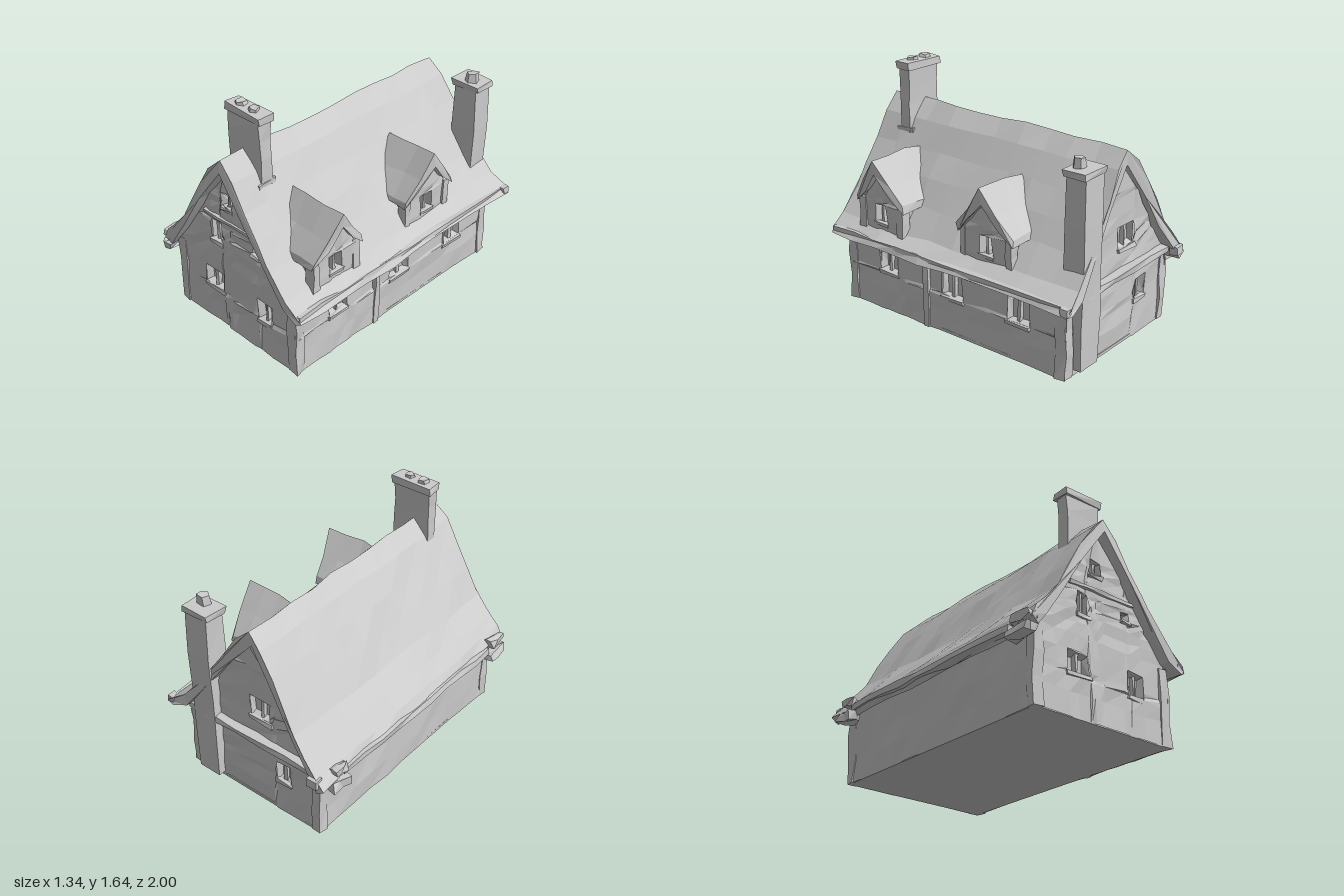
import * as THREE from 'three';

const material = new THREE.MeshStandardMaterial({ color: 0xcccccc, flatShading: true, side: THREE.DoubleSide });

// Repeatable noise from a position, so shared corners move together
function noise(x, y, z, k) {
  const s = Math.sin(Math.round(x * 500) * 12.99 + Math.round(y * 500) * 78.23 + Math.round(z * 500) * 37.72 + k * 9.17) * 4375.85;
  return (s - Math.floor(s)) * 2 - 1;
}

// Hand-hewn look: nudge every vertex, keeping the ground line flat
function rough(geometry, amount) {
  const p = geometry.attributes.position;
  for (let i = 0; i < p.count; i++) {
    const x = p.getX(i), y = p.getY(i), z = p.getZ(i);
    p.setXYZ(i, x + amount * noise(x, y, z, 1), y < 0.002 ? y : y + amount * noise(x, y, z, 2), z + amount * noise(x, y, z, 3));
  }
  const g = geometry.toNonIndexed();
  g.computeVertexNormals();
  return g;
}

function add(parent, name, geometry, amount = 0.008) {
  const mesh = new THREE.Mesh(rough(geometry, amount), material);
  mesh.name = name;
  parent.add(mesh);
}

function indexed(positions, index) {
  const g = new THREE.BufferGeometry();
  g.setAttribute('position', new THREE.Float32BufferAttribute(positions, 3));
  g.setIndex(index);
  return g;
}

// Box given by its low and high corners
function block(parent, name, [x0, y0, z0], [x1, y1, z1], seg = [1, 1, 1], amount = 0.007) {
  const g = new THREE.BoxGeometry(x1 - x0, y1 - y0, z1 - z0, ...seg);
  g.translate((x0 + x1) / 2, (y0 + y1) / 2, (z0 + z1) / 2);
  add(parent, name, g, amount);
}

// Counter-clockwise outline swept along z in steps; place(x, y, t) gives each vertex
function sweep(outline, steps, place) {
  const n = outline.length, pos = [], idx = [];
  for (let i = 0; i <= steps; i++) for (const [x, y] of outline) pos.push(...place(x, y, i / steps));
  for (let i = 0; i < steps; i++) {
    for (let j = 0; j < n; j++) {
      const a = i * n + j, b = i * n + (j + 1) % n;
      idx.push(a, b, a + n, b, b + n, a + n);
    }
  }
  const caps = THREE.ShapeUtils.triangulateShape(outline.map(([x, y]) => new THREE.Vector2(x, y)), []);
  for (const [a, b, c] of caps) idx.push(a, c, b, a + steps * n, b + steps * n, c + steps * n);
  return indexed(pos, idx);
}

// Symmetric outline from [height, half width] pairs
const outlineOf = (profile) => [...profile.map(([y, w]) => [w, y]), ...profile.filter(([, w]) => w > 0).reverse().map(([y, w]) => [-w, y])];

// Grid lines: fixed ones, window edges, and regular ones where there is room
function gridLines(fixed, edges, step) {
  const lines = [...new Set([...fixed, ...edges])], lo = Math.min(...fixed), hi = Math.max(...fixed);
  for (let v = lo + step; v < hi; v += step) if (lines.every((l) => Math.abs(l - v) > 0.04)) lines.push(v);
  return lines.sort((a, b) => a - b);
}

// Uneven plaster wall facing local +z with splayed windows [centre x, centre y, width, height]
function makeWall(name, profile, windows) {
  const group = new THREE.Group();
  group.name = name;
  const widest = profile[0][1];
  const halfAt = (y) => {
    const i = Math.max(1, profile.findIndex(([h]) => h >= y - 1e-6));
    const [y0, w0] = profile[i - 1], [y1, w1] = profile[i];
    return w0 + (w1 - w0) * (y - y0) / (y1 - y0);
  };
  const xs = gridLines([-widest, widest], windows.flatMap(([x, , w]) => [x - w / 2, x + w / 2]), 0.17);
  const ys = gridLines(profile.map(([y]) => y), windows.flatMap(([, y, , h]) => [y - h / 2, y + h / 2]), 0.15);
  const pos = [], idx = [], n = xs.length;
  for (const y of ys) for (const x of xs) pos.push(THREE.MathUtils.clamp(x, -halfAt(y), halfAt(y)), y, 0);
  for (let j = 0; j < ys.length - 1; j++) {
    for (let i = 0; i < n - 1; i++) {
      const cx = (xs[i] + xs[i + 1]) / 2, cy = (ys[j] + ys[j + 1]) / 2, a = j * n + i;
      if (windows.some(([x, y, w, h]) => Math.abs(cx - x) < w / 2 && Math.abs(cy - y) < h / 2)) continue;
      idx.push(a, a + 1, a + n + 1, a, a + n + 1, a + n);
    }
  }
  for (const [x, y, w, h] of windows) {
    const s = pos.length / 3;
    for (const [inset, z] of [[0, 0], [0.015, -0.045]]) {
      const u = w / 2 - inset, v = h / 2 - inset;
      pos.push(x - u, y - v, z, x + u, y - v, z, x + u, y + v, z, x - u, y + v, z);
    }
    for (let k = 0; k < 4; k++) {
      const a = s + k, b = s + (k + 1) % 4;
      idx.push(a, b, b + 4, a, b + 4, a + 4);
    }
    idx.push(s + 4, s + 5, s + 6, s + 4, s + 6, s + 7);
    block(group, 'windowSill', [x - w / 2 - 0.01, y - h / 2 - 0.02, -0.02], [x + w / 2 + 0.01, y - h / 2 + 0.005, 0.012]);
    if (w > 0.08) block(group, 'windowMullion', [x - 0.01, y - h / 2, -0.045], [x + 0.01, y + h / 2, -0.015], [1, 1, 1], 0.006);
  }
  add(group, name + 'Panel', indexed(pos, idx), 0.009);
  return group;
}

const gable = [[0, 0.545], [0.3, 0.54], [0.52, 0.53], [0.71, 0.39], [1.01, 0.2], [1.28, 0]];
const backGable = [[0, 0.545], [0.3, 0.54], [0.52, 0.53], [0.71, 0.375], [1.01, 0.175], [1.22, 0]];

const roofOutline = [[0.66, 0.5], [0.63, 0.54], [0.53, 0.6], [0.4, 0.76], [0.3, 0.92], [0.2, 1.07], [0.1, 1.24], [0, 1.35],
  [-0.1, 1.25], [-0.2, 1.09], [-0.3, 0.93], [-0.4, 0.76], [-0.5, 0.645], [-0.6, 0.53], [-0.64, 0.46], [-0.6, 0.42],
  [-0.5, 0.54], [-0.37, 0.72], [-0.2, 0.98], [0, 1.25], [0.2, 0.98], [0.37, 0.71], [0.5, 0.53], [0.61, 0.49]];

// The ridge sinks and drifts sideways to the back; the plain eave lifts to the front
function makeRoof() {
  return sweep(roofOutline, 10, (x, y, t) => {
    const back = -0.9 - 0.08 * Math.min(1, Math.abs(x) / 0.6);
    const high = (1 - t) * Math.max(0, (y - 0.5) / 0.85);
    const lift = x < -0.55 ? 0.035 * t : 0;
    return [x - 0.04 * high + lift, y - 0.035 * high + lift, back + t * (0.99 - back)];
  });
}

// Dormer built facing local +z, then turned to face +x
function makeDormer(z, half, front) {
  const group = new THREE.Group();
  group.name = 'dormer';
  const w = half - 0.045;
  const profile = [[0.52, w], [0.78, w], [1.02, 0]];
  const face = makeWall('dormerFace', profile, [[0, 0.7, 0.1, 0.13]]);
  face.position.z = front - 0.065;
  group.add(face);
  add(group, 'dormerBody', sweep(outlineOf(profile), 1, (x, y, t) => [x * 0.98, y - 0.01, 0.25 + t * (front - 0.37)]), 0.004);
  const roof = [[half, 0.755], [half - 0.01, 0.8], [half * 0.5, 0.93], [0, 1.085], [-half * 0.5, 0.93], [-half + 0.01, 0.8],
    [-half, 0.755], [-half * 0.5, 0.85], [0, 0.99], [half * 0.5, 0.85]];
  add(group, 'dormerRoof', sweep(roof, 3, (x, y, t) => {
    const tip = front - 0.045 * Math.abs(x) / half;
    return [x, y, 0.18 + t * (tip - 0.18)];
  }), 0.01);
  for (const s of [-1, 1]) block(group, 'dormerPost', [s * w - 0.025, 0.56, front - 0.12], [s * w + 0.025, 0.79, front - 0.055], [1, 2, 1]);
  group.rotation.y = Math.PI / 2;
  group.position.z = z;
  return group;
}

// Chimney stack flaring into a cap, with stubby pots
function makeChimney(name, [x0, y0, z0], [x1, y1, z1], pots) {
  const group = new THREE.Group();
  group.name = name;
  block(group, 'chimneyShaft', [x0, y0, z0], [x1, y1 - 0.04, z1], [1, 4, 1], 0.006);
  block(group, 'chimneyCap', [x0 - 0.015, y1 - 0.05, z0 - 0.012], [x1 + 0.015, y1, z1 + 0.012], [1, 1, 1], 0.007);
  for (const [x, z, r, h] of pots) {
    const pot = new THREE.CylinderGeometry(r * 0.85, r, h, 5);
    pot.translate(x, y1 + h / 2 - 0.005, z);
    add(group, 'chimneyPot', pot, 0.006);
  }
  return group;
}

export function createModel() {
  const house = new THREE.Group();
  house.name = 'cottage';

  // Inner core and floor slab
  add(house, 'houseCore', sweep(outlineOf(backGable), 1, (x, y, t) => [x * 0.87, y * 0.97, -0.83 + t * 1.69]), 0);
  block(house, 'floor', [-0.535, 0, -0.885], [0.535, 0.02, 0.92], [1, 1, 1], 0);

  // Walls
  const front = makeWall('frontWall', gable, [[-0.2, 0.34, 0.17, 0.14], [0.27, 0.33, 0.12, 0.16],
    [-0.15, 0.74, 0.09, 0.15], [0.205, 0.765, 0.06, 0.06], [-0.035, 1.01, 0.09, 0.1]]);
  front.position.z = 0.925;
  const back = makeWall('backWall', backGable, [[0.25, 0.33, 0.12, 0.15], [0.08, 0.74, 0.17, 0.15]]);
  back.position.z = -0.885;
  back.rotation.y = Math.PI;
  const side = [[0, 0.91], [0.53, 0.91]];
  const right = makeWall('dormerSideWall', side, [[-0.545, 0.38, 0.16, 0.19], [0.015, 0.36, 0.17, 0.18], [0.545, 0.355, 0.17, 0.18]]);
  right.position.set(0.54, 0, 0.0175);
  right.rotation.y = Math.PI / 2;
  const left = makeWall('plainSideWall', side, []);
  left.position.set(-0.54, 0, 0.0175);
  left.rotation.y = -Math.PI / 2;
  house.add(front, back, right, left);

  // Timber posts and ledges
  for (const x of [-0.515, 0.515]) for (const z of [-0.86, 0.9]) {
    block(house, 'cornerPost', [x - 0.035, 0, z - 0.035], [x + 0.035, 0.5, z + 0.035], [1, 3, 1], 0.01);
  }
  block(house, 'sidePost', [0.525, 0, 0.2], [0.56, 0.52, 0.245], [1, 3, 1]);
  block(house, 'frontLedge', [-0.25, 0.845, 0.91], [0.27, 0.87, 0.94], [4, 1, 1]);
  block(house, 'backLedge', [-0.5, 0.5, -0.94], [0.5, 0.54, -0.88], [5, 1, 1]);

  // Roof, eave board and ragged thatch ends
  add(house, 'roof', makeRoof(), 0.01);
  block(house, 'eaveBoard', [0.59, 0.495, -0.97], [0.64, 0.545, 0.985], [1, 1, 10]);
  for (const [z0, z1] of [[0.8, 0.985], [-0.88, -0.74]]) {
    block(house, 'eaveScrap', [-0.655, 0.39, z0], [-0.57, 0.45, z1], [2, 1, 2], 0.018);
    block(house, 'eaveScrap', [-0.64, 0.49, z0 + 0.03], [-0.56, 0.535, z1], [2, 1, 2], 0.016);
  }
  block(house, 'eaveStrip', [-0.635, 0.455, -0.75], [-0.58, 0.495, 0.82], [1, 1, 9], 0.01);
  block(house, 'eaveCorner', [0.61, 0.5, -0.985], [0.66, 0.545, -0.93], [1, 1, 1], 0.008);
  block(house, 'eaveCorner', [-0.6, 0.47, -0.993], [-0.53, 0.53, -0.94], [1, 1, 1], 0.008);

  // Dormers
  house.add(makeDormer(0.6, 0.215, 0.62), makeDormer(-0.265, 0.23, 0.585));

  // Chimneys
  house.add(makeChimney('ridgeChimney', [-0.13, 1.08, 0.715], [0.145, 1.61, 0.8], [[-0.055, 0.76, 0.04, 0.03], [0.06, 0.76, 0.04, 0.03]]));
  block(house, 'ridgeChimneyFoot', [-0.13, 1.05, 0.69], [0.15, 1.16, 0.82]);
  house.add(makeChimney('backChimney', [0.275, 0.04, -0.945], [0.455, 1.31, -0.805], [[0.385, -0.845, 0.045, 0.065]]));

  return house;
}
